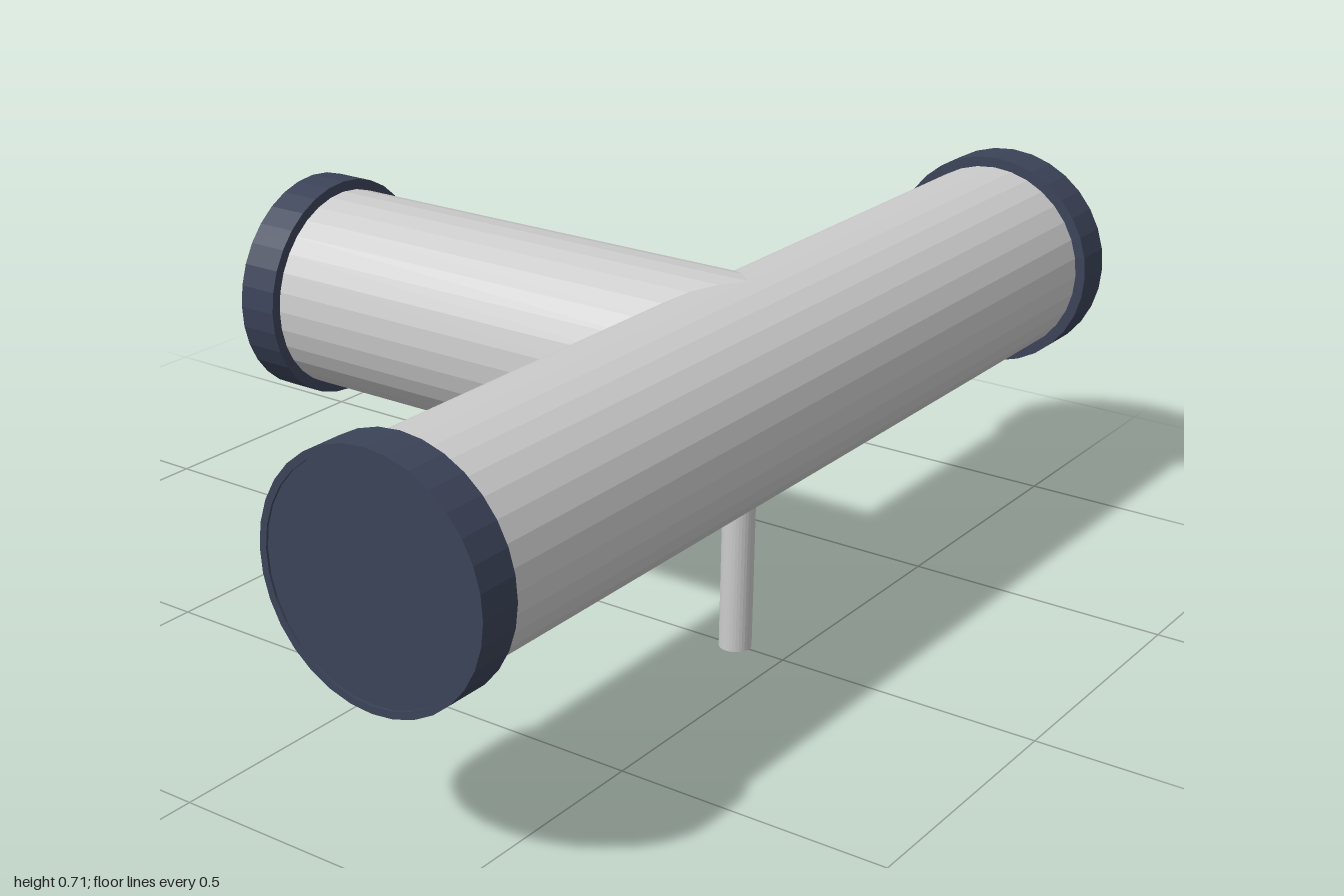
import * as THREE from 'three';

const SIDES = 32, TUBE_R = 0.193, CAP_R = 0.213, CAP_LEN = 0.08;
const AXIS_X = 0.398, AXIS_Y = 0.502, BRANCH_Z = -0.01;

const metal = new THREE.MeshStandardMaterial({ color: 0xcccccc, flatShading: true });
const navy = new THREE.MeshStandardMaterial({ color: 0x3b4358, flatShading: true });

function part(name, geometry, material) {
  const mesh = new THREE.Mesh(geometry, material);
  mesh.name = name;
  return mesh;
}

// Collar cap along +y, ending at y = 0, with a very shallow recessed end face
function capGeometry() {
  const profile = [
    [0, -CAP_LEN], [CAP_R, -CAP_LEN], [CAP_R, 0],
    [CAP_R - 0.013, 0], [CAP_R - 0.013, -0.004], [0, -0.004],
  ].map(([r, y]) => new THREE.Vector2(r, y));
  return new THREE.LatheGeometry(profile, SIDES);
}

export function createModel() {
  const model = new THREE.Group();
  model.name = 'teePipe';

  // Main pipe running front to back
  const mainPipe = part('mainPipe', new THREE.CylinderGeometry(TUBE_R, TUBE_R, 1.96, SIDES), metal);
  mainPipe.rotation.x = Math.PI / 2;
  mainPipe.position.set(AXIS_X, AXIS_Y, 0);
  model.add(mainPipe);

  // Side branch, meeting the main pipe at its axis
  const branchEnd = -0.611;
  const length = AXIS_X - branchEnd - 0.02;
  const branch = part('branchPipe', new THREE.CylinderGeometry(TUBE_R, TUBE_R, length, SIDES), metal);
  branch.rotation.z = Math.PI / 2;
  branch.position.set(AXIS_X - length / 2, AXIS_Y, BRANCH_Z);
  model.add(branch);

  // End caps
  const cap = capGeometry();
  for (const side of [1, -1]) {
    const end = part(side > 0 ? 'frontCap' : 'backCap', cap, navy);
    end.rotation.x = side * Math.PI / 2;
    end.position.set(AXIS_X, AXIS_Y, side);
    model.add(end);
  }
  const branchCap = part('branchCap', cap, navy);
  branchCap.rotation.z = Math.PI / 2;
  branchCap.position.set(branchEnd, AXIS_Y, BRANCH_Z);
  model.add(branchCap);

  // Thin support stem under the junction
  const stem = part('stem', new THREE.CylinderGeometry(0.03, 0.03, 0.35, SIDES), metal);
  stem.position.set(AXIS_X, 0.175, 0);
  model.add(stem);

  return model;
}
